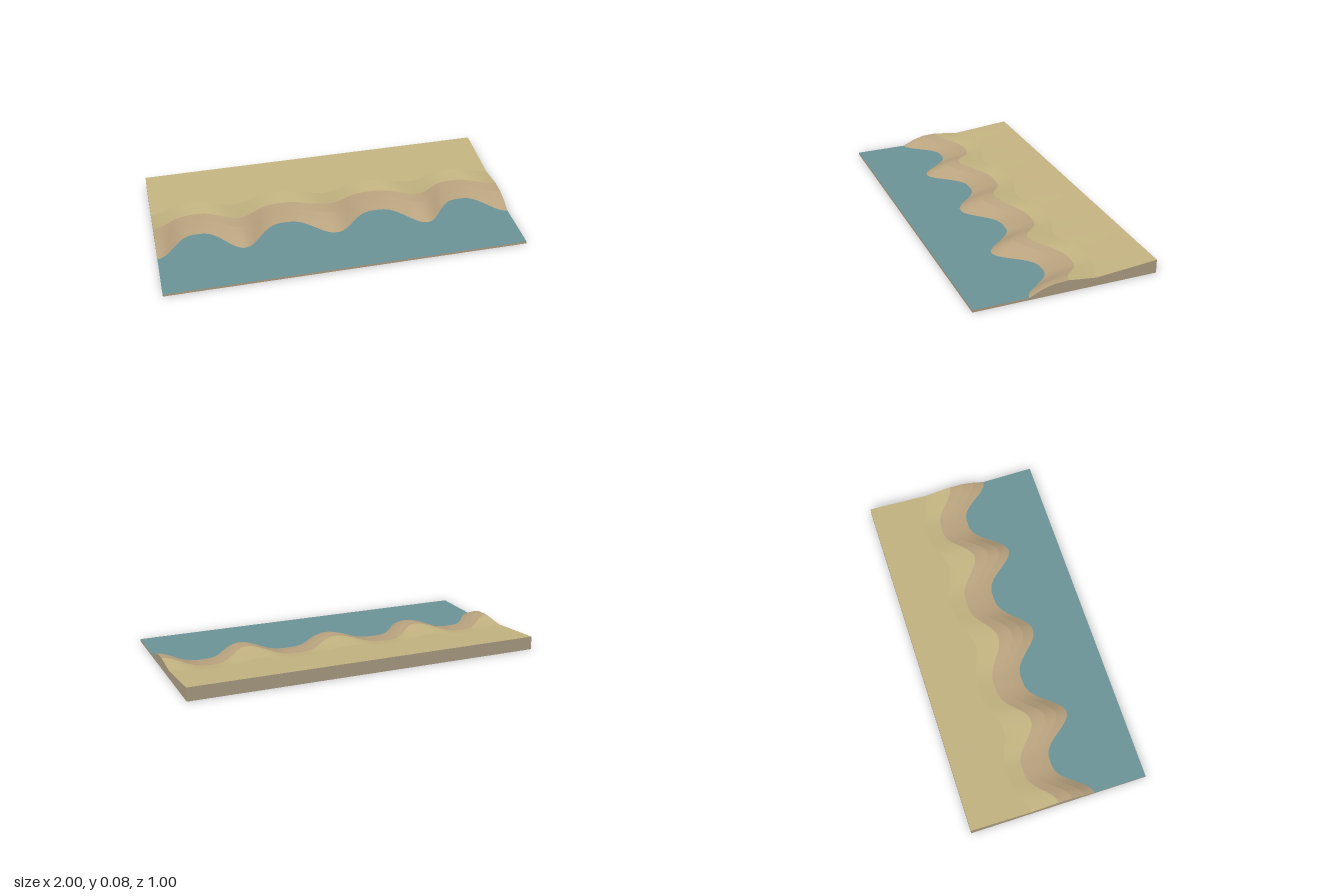
import * as THREE from 'three';

const DRY = 0xc2b280, WET = 0xb8a27e, EARTH = 0xa89a80, WATER = 0x6b9297;
const SEGMENTS = 128;

// cross-sections [z, y] from the back edge to the waterline
const HORN = [[-0.5, 0.075], [-0.16, 0.046], [-0.005, 0.065], [0.075, 0.061], [0.14, 0.043], [0.205, 0.013]];
const BAY = [[-0.5, 0.075], [-0.22, 0.05], [-0.13, 0.034], [-0.075, 0.029], [-0.02, 0.022], [0.03, 0.013]];

// 1 on a horn, 0 in the middle of a bay
function hornAmount(x) {
  const phase = 4 * Math.PI * (x - 0.02 * Math.sin(Math.PI * x));
  return Math.pow((1 + Math.cos(phase)) / 2, 1.5);
}

function sandPoint(row, x) {
  const t = hornAmount(x);
  const [hz, hy] = HORN[row], [bz, by] = BAY[row];
  // the middle horn is a little shorter than its neighbours
  const reach = row < 2 ? 0 : 0.025 * (Math.abs(Math.sin(Math.PI * 0.75 * x)) - 0.8);
  return new THREE.Vector3(x, by + (hy - by) * t, bz + (hz + reach - bz) * t);
}

// surface between two rows of points
function strip(a, b) {
  const index = [];
  const n = a.length;
  for (let i = 0; i < n - 1; i++) index.push(i, n + i, n + i + 1, i, n + i + 1, i + 1);
  const g = new THREE.BufferGeometry().setFromPoints([...a, ...b]);
  g.setIndex(index);
  g.computeVertexNormals();
  return g;
}

export function createModel() {
  const group = new THREE.Group();
  const add = (name, geometry, color) => {
    const mesh = new THREE.Mesh(geometry, new THREE.MeshStandardMaterial({ color }));
    mesh.name = name;
    group.add(mesh);
  };

  // rows running along the shore
  const xs = Array.from({ length: SEGMENTS + 1 }, (_, i) => -1 + (2 * i) / SEGMENTS);
  const rows = HORN.map((_, r) => xs.map(x => sandPoint(r, x)));
  rows.push(xs.map(x => new THREE.Vector3(x, 0.013, 0.5)));

  // each band is smooth along the shore and creased at its edges
  const bands = [
    ['backshore', DRY], ['bermBack', DRY], ['bermFace', WET],
    ['upperBeachFace', WET], ['lowerBeachFace', WET], ['water', WATER],
  ];
  bands.forEach(([name, color], i) => add(name, strip(rows[i], rows[i + 1]), color));

  // walls and underside
  const down = points => points.map(p => new THREE.Vector3(p.x, 0, p.z));
  const wall = (name, top) => add(name, strip(top, down(top)), EARTH);
  const back = rows[0], front = rows[rows.length - 1];
  wall('frontWall', front);
  wall('backWall', [...back].reverse());
  wall('leftWall', rows.map(r => r[SEGMENTS]).reverse());
  wall('rightWall', rows.map(r => r[0]));
  add('underside', strip(down(front), down(back)), EARTH);

  return group;
}
